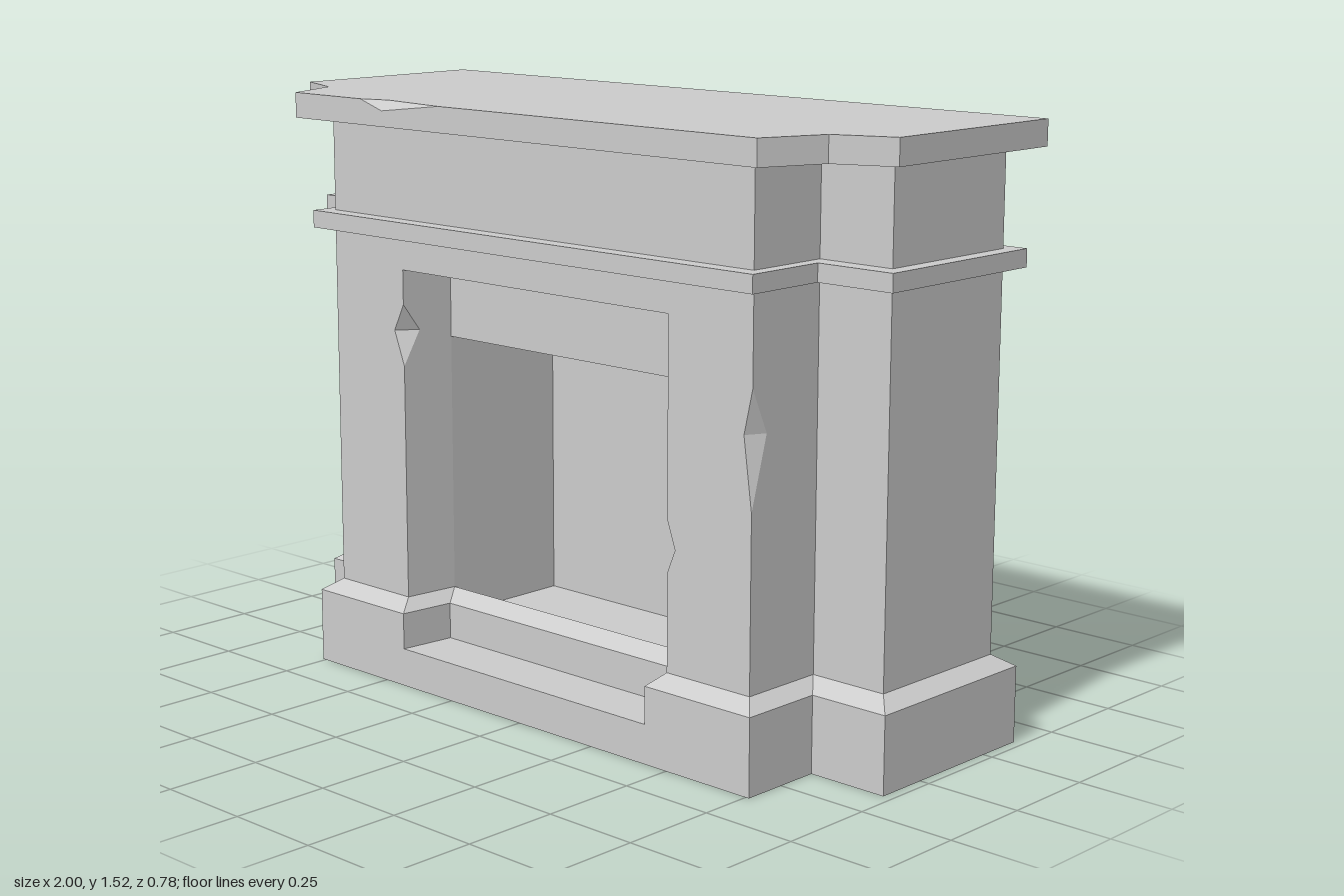
import * as THREE from 'three';

const material = new THREE.MeshStandardMaterial({ color: 0xcccccc, flatShading: true });
const V = (x, y, z) => new THREE.Vector3(x, y, z);

// Mesh from a list of triangle corners
function meshFrom(name, corners) {
  const geometry = new THREE.BufferGeometry().setFromPoints(corners);
  geometry.computeVertexNormals();
  const mesh = new THREE.Mesh(geometry, material);
  mesh.name = name;
  return mesh;
}

// Stepped footprint [x, z], running front, right, back, left
const tee = (hx, back, shoulder, fx, front) => [
  [-fx, front], [fx, front], [fx, shoulder], [hx, shoulder],
  [hx, back], [-hx, back], [-hx, shoulder], [-fx, shoulder],
];
const at = (outline, y) => outline.map(([x, z]) => V(x, y, z));

// Walls between stacked rings; closed rings also get caps
function loft(name, rings, closed = true) {
  const out = [];
  const n = rings[0].length;
  for (let r = 0; r + 1 < rings.length; r++) {
    const lo = rings[r], hi = rings[r + 1];
    for (let i = 0; i < (closed ? n : n - 1); i++) {
      const j = (i + 1) % n;
      out.push(lo[i], lo[j], hi[j], lo[i], hi[j], hi[i]);
    }
  }
  if (closed) {
    const cap = (ring, up) => {
      const flat = ring.map((p) => new THREE.Vector2(p.x, -p.z));
      for (const [a, b, c] of THREE.ShapeUtils.triangulateShape(flat, [])) {
        out.push(ring[a], ring[up ? b : c], ring[up ? c : b]);
      }
    };
    cap(rings[0], false);
    cap(rings[rings.length - 1], true);
  }
  return meshFrom(name, out);
}

// Upright panels between columns { x, z, chips }.
// A chip is [low, peak, high, depth on previous panel, depth on next panel].
function chippedWalls(name, columns, y0, y1) {
  const out = [];
  columns.forEach((a, i) => {
    const b = columns[(i + 1) % columns.length];
    const length = Math.hypot(b.x - a.x, b.z - a.z);
    const dx = (b.x - a.x) / length, dz = (b.z - a.z) / length;
    const place = (u, y) => V(a.x + dx * u, y, a.z + dz * u);

    const left = [[0, y0]], right = [[length, y0]];
    for (const [lo, mid, hi, , next] of a.chips) left.push([0, lo], [next, mid], [0, hi]);
    for (const [lo, mid, hi, prev] of b.chips) right.push([length, lo], [length - prev, mid], [length, hi]);
    left.push([0, y1]);
    right.push([length, y1]);

    const contour = [...right, ...left.reverse()].map(([u, y]) => new THREE.Vector2(u, y));
    for (const face of THREE.ShapeUtils.triangulateShape(contour, [])) {
      for (const k of face) out.push(place(contour[k].x, contour[k].y));
    }
    // Broken facets on the far corner of this panel
    const c = columns[(i + 2) % columns.length];
    const nextLength = Math.hypot(c.x - b.x, c.z - b.z);
    for (const [lo, mid, hi, prev, next] of b.chips) {
      const p = place(length - prev, mid);
      const t = next / nextLength;
      const q = V(b.x + (c.x - b.x) * t, mid, b.z + (c.z - b.z) * t);
      out.push(V(b.x, hi, b.z), p, q, V(b.x, lo, b.z), q, p);
    }
  });
  return meshFrom(name, out);
}

// Side profile [z, y] stretched across the width
function acrossProfile(name, profile, width) {
  const shape = new THREE.Shape(profile.map(([z, y]) => new THREE.Vector2(-z, y)));
  const geometry = new THREE.ExtrudeGeometry(shape, { depth: width, bevelEnabled: false });
  geometry.translate(0, 0, -width / 2).rotateY(Math.PI / 2);
  const mesh = new THREE.Mesh(geometry, material);
  mesh.name = name;
  return mesh;
}

export function createModel() {
  const model = new THREE.Group();
  model.name = 'fireplace';

  const baseOutline = tee(0.975, -0.375, 0.14, 0.76, 0.365);
  const bodyOutline = tee(0.93, -0.33, 0.09, 0.72, 0.32);

  // Plinth: full slab, then a chamfered course that leaves a gap for the hearth
  model.add(loft('plinthSlab', [at(baseOutline, 0), at(baseOutline, 0.1)]));
  const withGap = (outline, gap, front) => [
    [gap - 0.015, front - 0.15], [gap, front],
    ...outline.slice(1), outline[0],
    [-gap, front], [-gap + 0.015, front - 0.15],
  ];
  const course = withGap(baseOutline, 0.43, 0.365);
  model.add(loft('plinthCourse', [
    at(course, 0.1), at(course, 0.195), at(withGap(bodyOutline, 0.46, 0.32), 0.225),
  ], false));

  // Hearth sill and sunken firebox floor
  model.add(acrossProfile('hearth', [
    [0.215, 0.09], [0.215, 0.195], [0.17, 0.225], [0.17, 0.15], [-0.2, 0.15], [-0.2, 0.09],
  ], 0.89));

  // Body around the opening, with broken corners
  const column = (x, z, ...chips) => ({ x, z, chips });
  model.add(chippedWalls('body', [
    column(-0.72, 0.32),
    column(-0.46, 0.32, [0.84, 0.93, 1.0, 0.035, 0.05]),
    column(-0.445, 0.17), column(-0.445, -0.2),
    column(0.445, -0.2), column(0.445, 0.17),
    column(0.46, 0.32, [0.47, 0.53, 0.6, 0.05, 0.025]),
    column(0.72, 0.32, [0.66, 0.84, 0.95, 0.025, 0.05]),
    column(0.72, 0.09), column(0.93, 0.09),
    column(0.93, -0.33), column(-0.93, -0.33),
    column(-0.93, 0.09, [0.35, 0.61, 0.8, 0.04, 0.05], [0.88, 0.94, 1.0, 0.03, 0.03]),
    column(-0.72, 0.09),
  ], 0.15, 1.09));

  // Recessed lintel with a sloped soffit
  model.add(acrossProfile('lintel', [
    [0.32, 1.09], [0.17, 1.06], [0.17, 0.9], [-0.2, 0.9], [-0.2, 1.09],
  ], 0.92));

  // Frieze and moulding band
  model.add(loft('frieze', [at(bodyOutline, 1.09), at(bodyOutline, 1.46)]));
  const bandOutline = tee(0.97, -0.37, 0.14, 0.755, 0.365);
  model.add(loft('band', [at(bandOutline, 1.175), at(bandOutline, 1.22)]));

  // Mantel shelf with a broken front edge
  const shelf = [
    [-0.785, 0.39], [-0.53, 0.39], [-0.45, 0.39], [-0.24, 0.39], [0.785, 0.39],
    [0.85, 0.225], [1, 0.165], [1, -0.395], [-1, -0.395], [-1, 0.165], [-0.85, 0.225],
  ];
  const rim = at(shelf, 1.525), top = at(shelf, 1.525);
  rim[2].y = 1.5;
  top[2].z = 0.365;
  model.add(loft('mantelShelf', [at(shelf, 1.46), rim, top]));

  return model;
}
